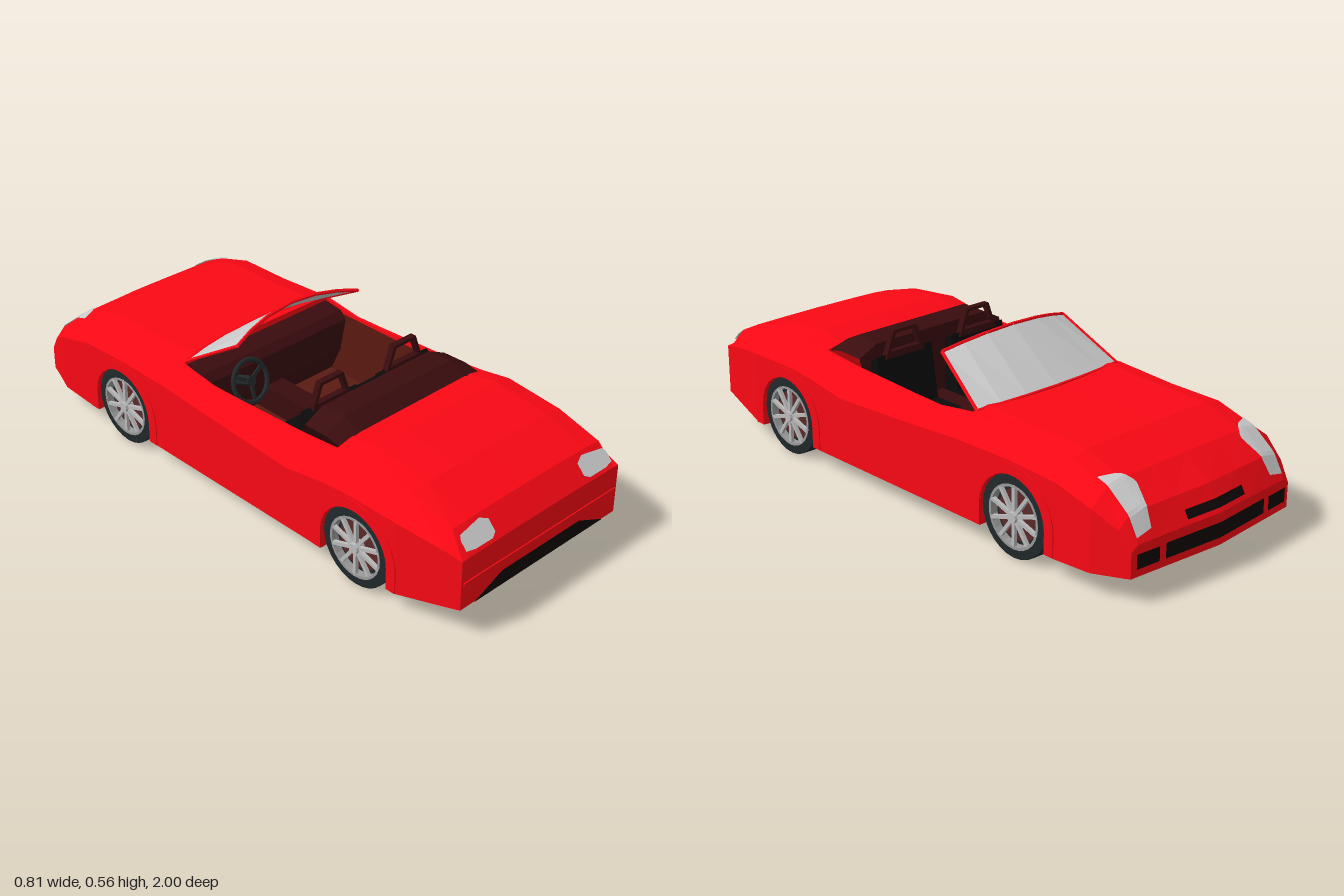
import * as THREE from 'three';

const mat = (color, side = THREE.FrontSide) =>
  new THREE.MeshStandardMaterial({ color, flatShading: true, side });
const RED = 0xfa0814, BLACK = 0x100606, TRIM = 0x3a0c0e, GLASS = 0xcccccc;
const WHEEL_Z = [0.595, -0.52], WHEEL_Y = 0.139, ARCH_R = 0.141;

// Body stations: z, half width, underside, shoulder, deck edge, deck crown
const STATIONS = [
  [0.995, 0.36, 0.11, 0.285, 0.288, 0.29],
  [0.93, 0.372, 0.097, 0.30, 0.355, 0.362],
  [0.77, 0.401, 0.066, 0.325, 0.40, 0.411],
  [0.56, 0.401, 0.066, 0.325, 0.42, 0.437],
  [0.45, 0.401, 0.066, 0.315, 0.402, 0.418],
  [0.3, 0.401, 0.066, 0.29, 0.388, 0.40],
  [0, 0.401, 0.066, 0.305, 0.374, 0.385],
  [-0.12, 0.401, 0.066, 0.312, 0.37, 0.385],
  [-0.27, 0.401, 0.066, 0.322, 0.39, 0.402],
  [-0.5, 0.401, 0.066, 0.325, 0.375, 0.391],
  [-0.7, 0.401, 0.066, 0.316, 0.372, 0.386],
  [-0.85, 0.401, 0.075, 0.28, 0.328, 0.34],
  [-0.95, 0.372, 0.081, 0.23, 0.262, 0.273],
  [-1, 0.36, 0.086, 0.17, 0.188, 0.192],
];
// Headlamp inner edge: z, x
const LAMP = [[-0.805, 0.328], [-0.83, 0.27], [-0.87, 0.237], [-0.965, 0.272]];

// Row of a table interpolated at z (rows run from high z to low z)
function lookup(table, z) {
  const found = table.findIndex((s) => s[0] <= z);
  const i = found < 0 ? table.length - 1 : Math.max(1, found);
  const a = table[i - 1], b = table[i], t = (a[0] - z) / (a[0] - b[0]);
  return a.map((v, k) => v + (b[k] - v) * t);
}
// Nose sweeps back towards its sides
const sweep = (x, z) => Math.abs(x) * 0.083 * THREE.MathUtils.clamp((-0.83 - z) / 0.17, 0, 1);

function section(z) {
  const [, w, yb, ysh, ye, yt] = lookup(STATIONS, z);
  const d = Math.min(...WHEEL_Z.map((c) => Math.abs(z - c)));
  const arch = d <= ARCH_R ? WHEEL_Y + Math.sqrt(ARCH_R ** 2 - d * d) : yb;
  const open = z < 0.45 && z > -0.27;
  const top = open ? [[0.325, ye], [0.32, 0.12], [0, 0.12]] : [[0.27, yt - 0.002], [0.14, yt], [0, yt + 0.001]];
  const half = [[0, yb], [0.27, yb], [0.27, arch], [w, arch], [w, ysh], [0.335, ye], ...top];
  const mirror = half.slice(1, -1).reverse().map(([x, y]) => [-x, y]);
  return [...half, ...mirror].map(([x, y]) => [x, y, z + sweep(x, z)]);
}

// Lofted shell with wheel arches and an open cockpit
function bodyGeometry() {
  const zs = [...STATIONS.map((s) => s[0]), 0.4495, -0.2695];
  for (const c of WHEEL_Z) {
    zs.push(c + ARCH_R + 0.0006, c - ARCH_R - 0.0006);
    for (let i = 0; i <= 12; i++) zs.push(c + (ARCH_R - 1e-6) * Math.cos((i * Math.PI) / 12));
  }
  zs.sort((a, b) => b - a);
  const rings = zs.map(section), n = rings[0].length, pos = [];
  for (let i = 0; i < rings.length - 1; i++)
    for (let j = 0; j < n; j++) {
      const k = (j + 1) % n, a = rings[i][j], b = rings[i][k], c = rings[i + 1][k], d = rings[i + 1][j];
      pos.push(...a, ...d, ...b, ...b, ...d, ...c);
    }
  const first = rings[0], last = rings[rings.length - 1];
  for (let j = 1; j < n - 1; j++) {
    pos.push(...first[0], ...first[j], ...first[j + 1]);
    pos.push(...last[0], ...last[j + 1], ...last[j]);
  }
  return finish(pos);
}
function finish(pos) {
  const g = new THREE.BufferGeometry();
  g.setAttribute('position', new THREE.Float32BufferAttribute(pos, 3));
  g.computeVertexNormals();
  return g;
}
function add(parent, name, geometry, color, x = 0, y = 0, z = 0, side) {
  const m = new THREE.Mesh(geometry, mat(color, side));
  m.name = name;
  m.position.set(x, y, z);
  parent.add(m);
  return m;
}
// Thin two-sided panel spanning several rails of points
function addPanel(parent, name, rails, color) {
  const pos = [];
  for (let i = 0; i < rails.length - 1; i++)
    for (let j = 0; j < rails[i].length - 1; j++) {
      const a = rails[i][j], b = rails[i][j + 1], c = rails[i + 1][j + 1], d = rails[i + 1][j];
      pos.push(...a, ...b, ...c, ...a, ...c, ...d);
    }
  add(parent, name, finish(pos), color, 0, 0, 0, THREE.DoubleSide);
}
// Side profile of [z, y] points extruded across x
const outline = (pts, Type = THREE.Shape) => new Type(pts.map((p) => new THREE.Vector2(...p)));
const sideways = (shape, width) =>
  new THREE.ExtrudeGeometry(shape, { depth: width, bevelEnabled: false, curveSegments: 16 })
    .rotateY(-Math.PI / 2).translate(width / 2, 0, 0);
const across = (points, width) => sideways(outline(points), width);
const box = (...s) => new THREE.BoxGeometry(...s);

// Raised lip around a wheel opening, with legs down to the sill
function archTrim() {
  const s = new THREE.Shape(), low = 0.068 - WHEEL_Y;
  s.moveTo(0.178, low).lineTo(0.178, 0);
  s.absarc(0, 0, 0.178, 0, Math.PI, false);
  s.lineTo(-0.178, low).lineTo(-ARCH_R, low).lineTo(-ARCH_R, 0);
  s.absarc(0, 0, ARCH_R, Math.PI, 0, true);
  s.lineTo(ARCH_R, low);
  return sideways(s, 0.01);
}

function makeWheel(name) {
  const g = new THREE.Group();
  g.name = name;
  const lathe = (pts) => new THREE.LatheGeometry(pts.map((p) => new THREE.Vector2(...p)), 28).rotateZ(-Math.PI / 2);
  add(g, 'tyre', lathe([[0.1, -0.048], [0.138, -0.048], [0.138, 0.047], [0.134, 0.048], [0.106, 0.05], [0.1, 0.03]]), 0x20282b, 0, 0, 0, THREE.DoubleSide);
  add(g, 'rim', lathe([[0.098, 0.02], [0.098, 0.052], [0.107, 0.052]]), 0x999999, 0, 0, 0, THREE.DoubleSide);
  add(g, 'wheelBack', new THREE.CylinderGeometry(0.102, 0.102, 0.05, 24).rotateZ(Math.PI / 2), 0x24282a);
  add(g, 'brakeDisc', new THREE.CylinderGeometry(0.085, 0.085, 0.06, 24).rotateZ(Math.PI / 2), 0x5a2828);
  add(g, 'hub', new THREE.CylinderGeometry(0.018, 0.024, 0.03, 10).rotateZ(-Math.PI / 2), 0xbbbbbb, 0.045);
  for (let i = 0; i < 10; i++)
    add(g, 'spoke', box(0.012, 0.09, 0.012).translate(0, 0.058, 0), 0xbbbbbb, 0.046).rotation.x = (i * Math.PI) / 5;
  return g;
}

export function createModel() {
  const car = new THREE.Group();
  car.name = 'car';
  add(car, 'body', bodyGeometry(), RED);

  // Underside plates
  add(car, 'underside', box(0.53, 0.002, 1.58), BLACK, 0, 0.0655, -0.02);
  add(car, 'undersideMiddle', box(0.68, 0.002, 0.8), BLACK, 0, 0.0655, 0.04);
  addPanel(car, 'rearUnderside', [[[-0.33, 0.065, 0.77], [0.33, 0.065, 0.77]], [[-0.3, 0.108, 0.993], [0.3, 0.108, 0.993]]], BLACK);

  // Rear end
  addPanel(car, 'diffuser', [[[-0.3, 0.11, 0.997], [0.3, 0.11, 0.997]], [[-0.18, 0.163, 0.997], [0.18, 0.163, 0.997]]], BLACK);
  add(car, 'bumperLedge', box(0.7, 0.011, 0.01), RED, 0, 0.2, 0.994);
  addPanel(car, 'plateRecess', [[[-0.146, 0.209, 0.997], [0.146, 0.209, 0.997]], [[-0.135, 0.249, 0.997], [0.135, 0.249, 0.997]]], RED);
  const slope = (x, y) => [x, y + 0.001, 1 - ((y - 0.29) / 0.07) * 0.065];

  // Deck height used to lay the headlamps on the bonnet
  const onDeck = (x, z) => {
    const z0 = z - sweep(x, z - sweep(x, z));
    const s = lookup(STATIONS, Math.max(-1, z0));
    const t = THREE.MathUtils.clamp((Math.abs(x) - 0.27) / 0.065, 0, 1);
    return [x, s[5] + (s[4] - s[5]) * t + 0.004, z];
  };
  const noseSlot = (name, x0, x1, y0, y1) => {
    const xs = x0 < 0 && x1 > 0 ? [x0, 0, x1] : [x0, x1];
    const rail = (y) => xs.map((x) => {
      const z = -1 + (Math.max(0, y - 0.19) / 0.08) * 0.05;
      return [x, y, z - 0.003 + sweep(x, z)];
    });
    addPanel(car, name, [rail(y0), rail(y1)], BLACK);
  };
  noseSlot('upperVent', -0.13, 0.13, 0.206, 0.232);
  noseSlot('lowerIntake', -0.225, 0.225, 0.112, 0.163);

  for (const s of [1, -1]) {
    const side = s > 0 ? 'left' : 'right';
    noseSlot(side + 'CornerIntake', s * 0.25, s * 0.34, 0.112, 0.16);
    addPanel(car, side + 'TailLamp', [
      [slope(s * 0.225, 0.3), slope(s * 0.3, 0.3), slope(s * 0.335, 0.305)],
      [slope(s * 0.205, 0.31), slope(s * 0.27, 0.33), slope(s * 0.335, 0.33)],
      [slope(s * 0.205, 0.341), slope(s * 0.235, 0.353), slope(s * 0.327, 0.342)],
    ], GLASS);
    const lampRows = Array.from({ length: 17 }, (_, i) => -0.805 - i * 0.01);
    addPanel(car, side + 'Headlamp', lampRows.map((z) => {
      const inner = lookup(LAMP, z)[1];
      return [0, 0.2, 0.4, 0.6, 0.8, 1].map((t) => onDeck(s * (inner + (0.333 - inner) * t), z));
    }), GLASS);

    // Wheels with arch trims
    WHEEL_Z.forEach((z, i) => {
      const w = makeWheel(side + (i ? 'FrontWheel' : 'RearWheel'));
      w.position.set(s * 0.343, WHEEL_Y, z);
      if (s < 0) w.rotation.y = Math.PI;
      car.add(w);
      add(car, side + 'ArchTrim', archTrim(), RED, s * 0.399, WHEEL_Y, z);
    });

    // Seat with a hollow head restraint
    const seat = new THREE.Group();
    seat.name = side + 'Seat';
    seat.position.x = s * 0.165;
    add(seat, 'cushion', box(0.24, 0.1, 0.22), 0x0c0c0c, 0, 0.175, 0.14);
    add(seat, 'backrest', across([[0.28, 0.15], [0.275, 0.4], [0.245, 0.42], [0.2, 0.15]], 0.24), 0x0c0c0c);
    const frame = outline([[-0.085, 0.405], [0.085, 0.405], [0.05, 0.5], [-0.05, 0.5]]);
    frame.holes.push(outline([[-0.064, 0.428], [-0.04, 0.489], [0.04, 0.489], [0.064, 0.428]], THREE.Path));
    add(seat, 'headRestraint', new THREE.ExtrudeGeometry(frame, { depth: 0.022, bevelEnabled: false }), TRIM, 0, 0, 0.238);
    car.add(seat);
  }

  // Cockpit
  const tub = (z) => [[-0.318, 0.365, z], [-0.316, 0.125, z], [0.316, 0.125, z], [0.318, 0.365, z]];
  addPanel(car, 'cockpitLining', [tub(0.446), tub(-0.267)], 0x5a1a12);
  const roofProfile = [[0.285, 0.13], [0.285, 0.385], [0.295, 0.446], [0.39, 0.453], [0.455, 0.421]];
  addPanel(car, 'foldedRoof', roofProfile.map(([z, y]) => [-0.318, -0.24, 0.24, 0.318].map((x) =>
    [x, y - (Math.abs(x) > 0.3 ? Math.max(0, y - 0.385) * 0.6 : 0), z])), TRIM);
  add(car, 'dashboard', across([[-0.265, 0.13], [-0.23, 0.13], [-0.19, 0.22], [-0.165, 0.35], [-0.19, 0.376], [-0.265, 0.386]], 0.634), TRIM);
  add(car, 'centreTunnel', box(0.08, 0.09, 0.55), TRIM, 0, 0.17, 0.01);
  const steering = new THREE.Group();
  steering.name = 'steeringWheel';
  add(steering, 'steeringRim', new THREE.TorusGeometry(0.072, 0.009, 6, 20), 0x22282a);
  add(steering, 'steeringHub', new THREE.CylinderGeometry(0.018, 0.018, 0.09, 10).rotateX(Math.PI / 2), 0x22282a, 0, 0, -0.035);
  for (const a of [Math.PI, Math.PI / 3, -Math.PI / 3])
    add(steering, 'steeringSpoke', box(0.012, 0.07, 0.008).translate(0, 0.036, 0), 0x22282a).rotation.z = a;
  steering.position.set(-0.18, 0.332, -0.11);
  steering.rotation.x = -0.35;
  car.add(steering);

  // Curved windscreen in a slim frame
  const us = [-1, -0.72, -0.4, 0, 0.4, 0.72, 1];
  const topRail = us.map((u) => [u * 0.272, 0.56 - 0.04 * u * u, -0.105 + 0.04 * u * u]);
  const lowRail = us.map((u) => [u * 0.315, 0.402 - 0.01 * u * u, -0.31 + 0.035 * u * u]);
  addPanel(car, 'windscreen', [lowRail, topRail], GLASS);
  const loop = [...topRail, ...lowRail.slice().reverse(), topRail[0]].map((p) => new THREE.Vector3(...p));
  for (let i = 1; i < loop.length; i++) {
    const edge = new THREE.LineCurve3(loop[i - 1], loop[i]);
    add(car, 'windscreenFrame', new THREE.TubeGeometry(edge, 1, 0.006, 6, false), RED, 0, 0, 0, THREE.DoubleSide);
  }
  return car;
}
